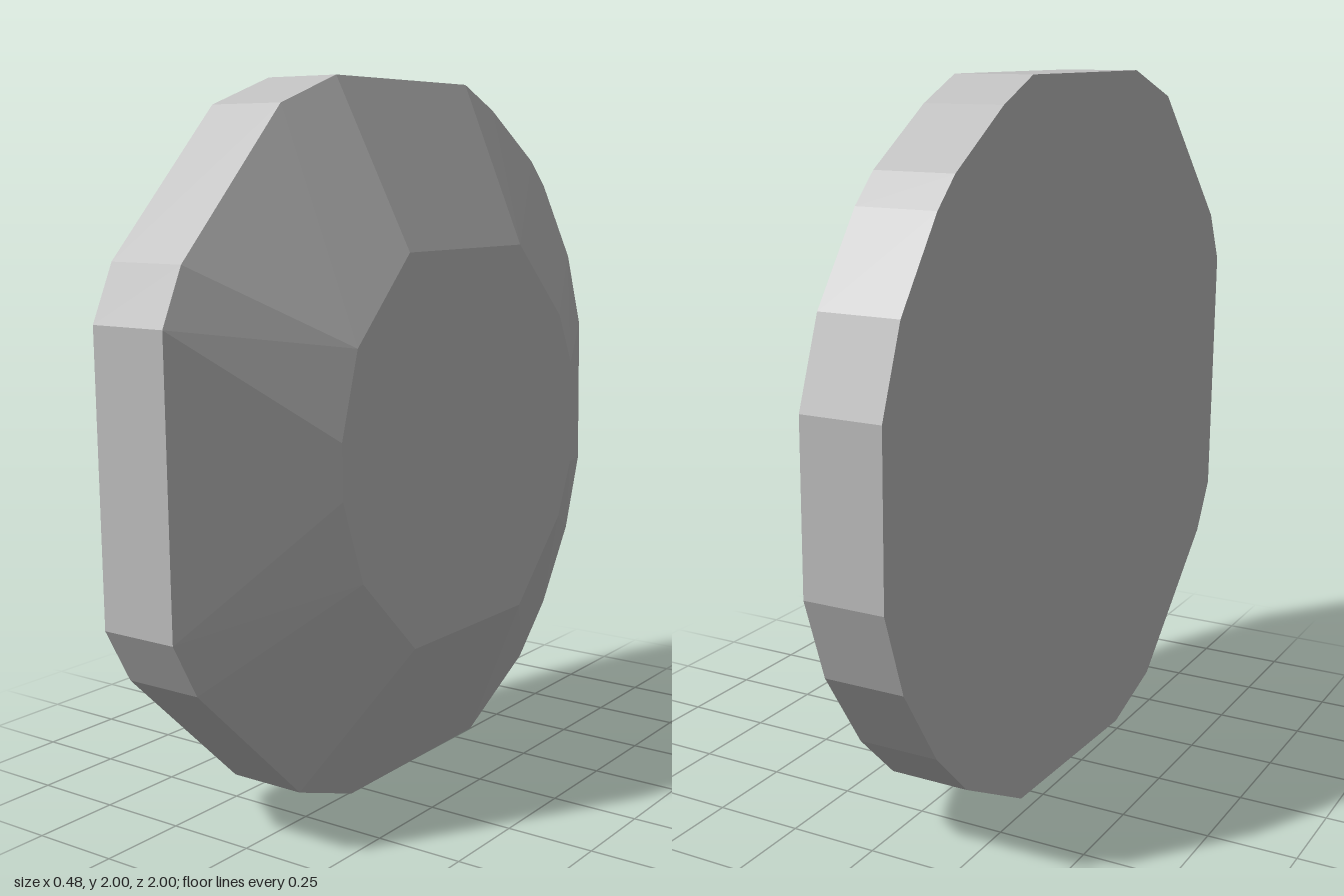
import * as THREE from 'three';

// Outlines as [z, y], running from the top towards +z
const OUTER = [[0.32, 2], [0.55, 1.92], [0.93, 1.53], [1, 1.38], [1, 0.61], [0.92, 0.46], [0.53, 0.08],
  [0.3, 0], [-0.32, 0.01], [-0.62, 0.17], [-0.77, 0.32], [-0.92, 0.55], [-1, 0.78], [-1, 1.24],
  [-0.92, 1.47], [-0.76, 1.7], [-0.68, 1.78], [-0.45, 1.93], [-0.3, 2]];
const INNER = [[0.32, 1.54], [0.55, 1.31], [0.62, 1.08], [0.62, 0.93], [0.54, 0.7], [0.31, 0.47],
  [-0.23, 0.47], [-0.46, 0.7], [-0.53, 0.86], [-0.53, 1.17], [-0.46, 1.32], [-0.23, 1.54]];
// Inner corner that each outer edge leans on
const LEAN = [0, 1, 1, 3, 4, 5, 5, 6, 6, 7, 7, 8, 9, 9, 10, 10, 11, 11, 12];

// Places an outline at a depth x, with the slight tilt of the disc
const ring = (outline, x) => outline.map(([z, y]) =>
  new THREE.Vector3(x - 0.01 * (y - 1) - 0.01 * z, y, z));

export function createModel() {
  const group = new THREE.Group();
  group.name = 'facetedDisc';
  const grey = new THREE.MeshStandardMaterial({ color: 0xc0c0c0 });
  grey.name = 'light grey';

  const addPart = (name, points) => {
    const geometry = new THREE.BufferGeometry().setFromPoints(points);
    geometry.computeVertexNormals();
    const mesh = new THREE.Mesh(geometry, grey);
    mesh.name = name;
    group.add(mesh);
  };
  const fan = (r) => r.slice(2).flatMap((p, i) => [r[0], r[i + 1], p]);

  const back = ring(OUTER, -0.23);
  const middle = ring(OUTER, 0);
  const front = ring(INNER, 0.232);
  const n = OUTER.length, m = INNER.length;

  // Straight rim and sloping bevel
  const rim = [], bevel = [];
  for (let k = 0; k < n; k++) {
    const j = (k + 1) % n;
    rim.push(middle[k], back[k], back[j], middle[k], back[j], middle[j]);
    bevel.push(middle[k], middle[j], front[LEAN[k] % m]);
    for (let i = k ? LEAN[k - 1] : 0; i < LEAN[k]; i++) {
      bevel.push(middle[k], front[(i + 1) % m], front[i]);
    }
  }
  addPart('rim', rim);
  addPart('bevel', bevel);

  // Flat faces
  addPart('raisedFace', fan(front));
  addPart('backFace', fan([...back].reverse()));
  return group;
}
